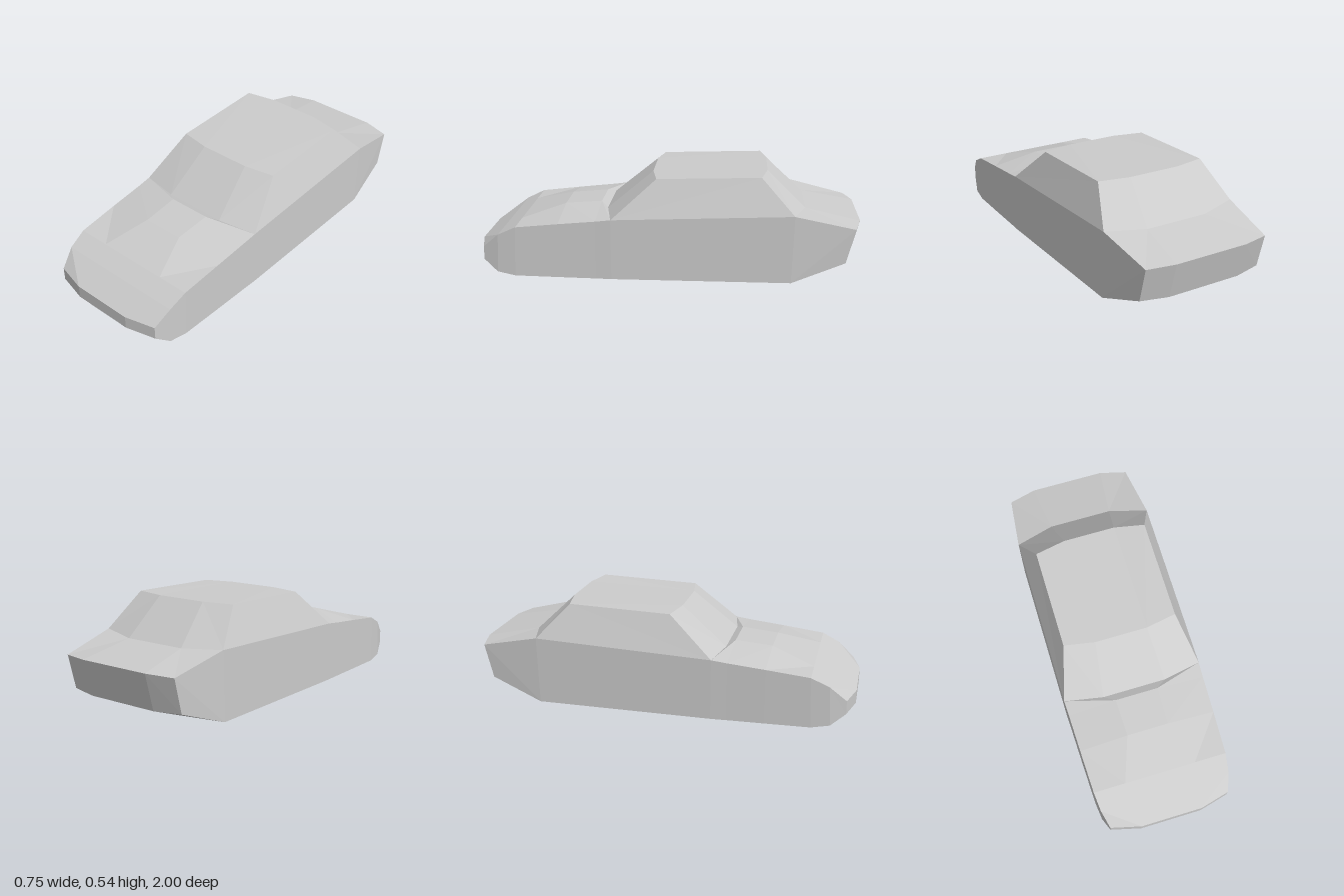
import * as THREE from 'three';

// Each station runs across the car: [edge x, y, z], [centre x, y, z]
const stations = {
  noseLow: [[0.325, 0.075, 0.96], [0.165, 0.075, 1.0]],
  noseTop: [[0.325, 0.145, 0.96], [0.165, 0.145, 1.0]],
  hood1: [[0.35, 0.22, 0.875], [0.175, 0.22, 0.875]],
  hood2: [[0.36, 0.265, 0.78], [0.19, 0.265, 0.78]],
  hood3: [[0.367, 0.29, 0.555], [0.11, 0.33, 0.555]],
  hood4: [[0.372, 0.31, 0.36], [0.115, 0.347, 0.36]],
  cowl: [[0.375, 0.32, 0.28], [0.17, 0.327, 0.32]],
  roofFront: [[0.303, 0.523, 0.05], [0.14, 0.525, 0.08]],
  roofRear: [[0.303, 0.54, -0.485], [0.14, 0.54, -0.517]],
  deck: [[0.375, 0.36, -0.655], [0.17, 0.35, -0.717]],
  tailTop: [[0.345, 0.29, -0.965], [0.2, 0.295, -1.0]],
  tailLow: [[0.345, 0.11, -0.92], [0.2, 0.105, -0.95]],
  floorRear: [[0.375, 0.005, -0.645], [0.18, 0.005, -0.645]],
  floorMid: [[0.375, 0, 0.28], [0.18, 0, 0.28]],
  floor3: [[0.372, 0, 0.36], [0.18, 0, 0.36]],
  floor2: [[0.367, 0, 0.555], [0.18, 0, 0.555]],
  floorFront: [[0.36, 0, 0.79], [0.18, 0, 0.79]],
  chin: [[0.35, 0.016, 0.885], [0.175, 0.016, 0.885]],
};

// Panels as runs of stations, going over the top from nose to tail and back below
const panels = {
  nose: ['noseLow', 'noseTop'],
  hood: ['noseTop', 'hood1', 'hood2', 'hood3', 'hood4', 'cowl'],
  windshield: ['cowl', 'roofFront'],
  roof: ['roofFront', 'roofRear'],
  rearWindow: ['roofRear', 'deck'],
  trunkLid: ['deck', 'tailTop'],
  tail: ['tailTop', 'tailLow'],
  underbody: ['tailLow', 'floorRear', 'floorMid', 'floor3', 'floor2', 'floorFront', 'chin', 'noseLow'],
};

// Side strips as [upper, lower] pairs from front to rear
const sides = {
  bodySide: [
    ['noseTop', 'noseLow'], ['hood1', 'chin'], ['hood2', 'floorFront'], ['hood3', 'floor2'],
    ['hood4', 'floor3'], ['cowl', 'floorMid'], ['deck', 'floorRear'], ['tailTop', 'tailLow'],
  ],
  cabinSide: [['roofFront', 'cowl'], ['roofRear', 'deck']],
};

const mirror = ([x, y, z]) => [-x, y, z];

// Split a quad into two triangles, optionally along the other diagonal
const quad = (a, b, c, d, flip = false) =>
  flip ? [a, b, d, b, c, d] : [a, b, c, a, c, d];

function makeMesh(name, corners, material) {
  const geometry = new THREE.BufferGeometry();
  geometry.setAttribute('position', new THREE.Float32BufferAttribute(corners.flat(), 3));
  geometry.computeVertexNormals();
  const mesh = new THREE.Mesh(geometry, material);
  mesh.name = name;
  return mesh;
}

// Panel across the full width: two outer bays and one centre bay
function panelCorners(names) {
  const rows = names.map((n) => {
    const [edge, centre] = stations[n];
    return [mirror(edge), mirror(centre), centre, edge];
  });
  const out = [];
  for (let i = 0; i < rows.length - 1; i++) {
    for (let j = 0; j < 3; j++) {
      out.push(...quad(rows[i][j], rows[i][j + 1], rows[i + 1][j + 1], rows[i + 1][j], j === 0));
    }
  }
  return out;
}

// Left side strip; the right one is its reflection with reversed winding
function sideCorners(pairs, right) {
  const out = [];
  for (let i = 0; i < pairs.length - 1; i++) {
    const [topA, lowA] = pairs[i].map((n) => stations[n][0]);
    const [topB, lowB] = pairs[i + 1].map((n) => stations[n][0]);
    out.push(...quad(lowA, lowB, topB, topA));
  }
  return right ? out.map(mirror).reverse() : out;
}

export function createModel() {
  const car = new THREE.Group();
  car.name = 'carBody';
  const material = new THREE.MeshStandardMaterial({ color: 0xcccccc, flatShading: true });

  for (const [name, names] of Object.entries(panels)) {
    car.add(makeMesh(name, panelCorners(names), material));
  }
  for (const [name, pairs] of Object.entries(sides)) {
    car.add(makeMesh(name + 'Left', sideCorners(pairs, false), material));
    car.add(makeMesh(name + 'Right', sideCorners(pairs, true), material));
  }
  return car;
}
